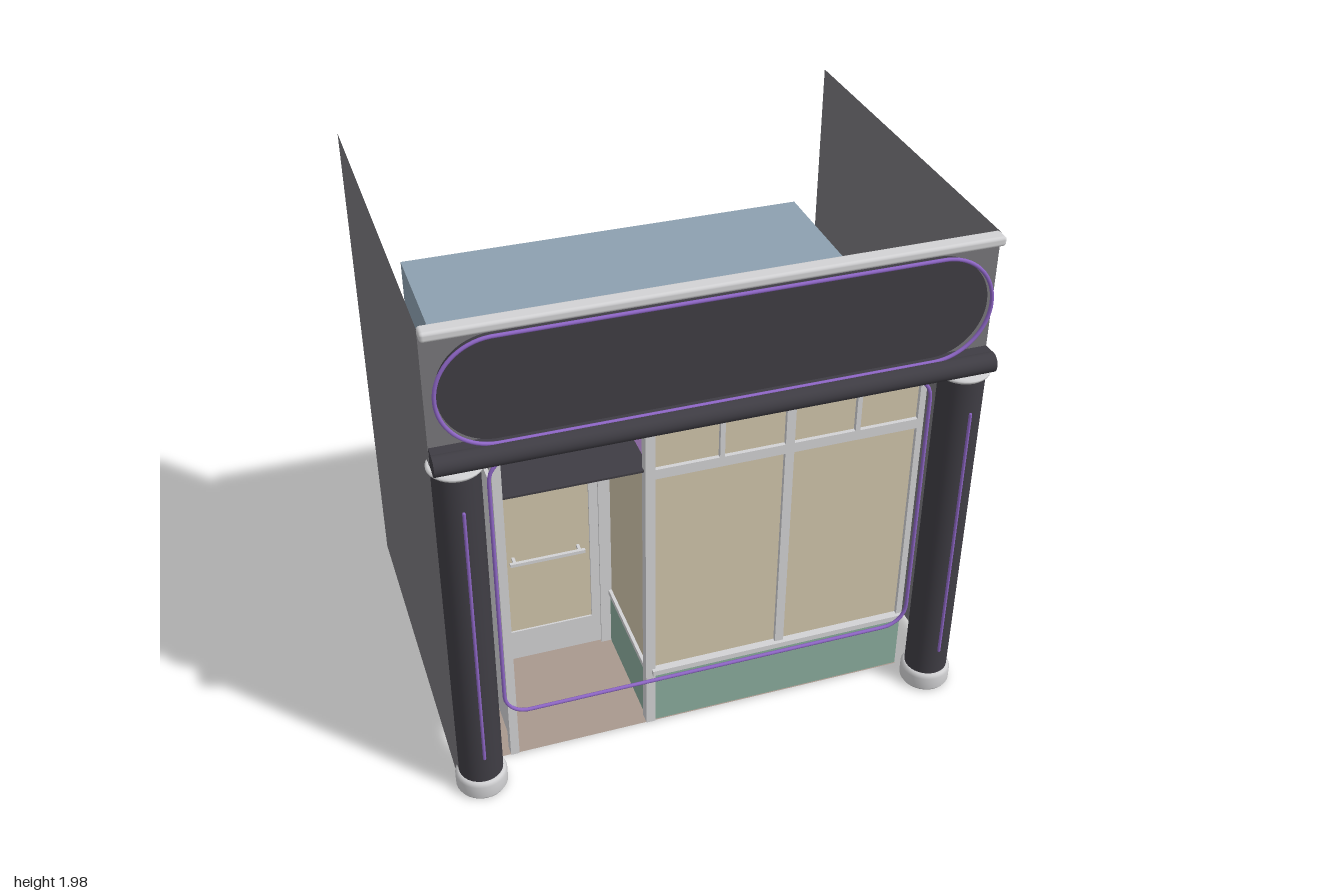
import * as THREE from 'three';
import { RoundedBoxGeometry } from 'three/addons/geometries/RoundedBoxGeometry.js';

const mat = (name, color, double = false) => {
  const m = new THREE.MeshStandardMaterial({ color });
  m.name = name;
  if (double) m.side = THREE.DoubleSide;
  return m;
};

export function createModel() {
  const M = {
    wall: mat('wall grey', 0x78777b, true),
    dark: mat('charcoal', 0x3f3d44),
    trim: mat('light trim', 0xd2d2d4),
    neon: mat('neon purple', 0x8e66c6),
    purple: mat('back wall purple', 0x9f76b9, true),
    blue: mat('room blue', 0x8da0b0, true),
    floor: mat('floor brown', 0xa8988e, true),
    green: mat('panel green', 0x8aac9d),
    glass: mat('glass tan', 0xd0c4aa),
    black: mat('black', 0x2a2a2c),
  };
  const root = new THREE.Group();
  root.name = 'shopfront';

  const add = (name, geometry, material, parent = root) => {
    const mesh = new THREE.Mesh(geometry, material);
    mesh.name = name;
    parent.add(mesh);
    return mesh;
  };
  const group = (name) => {
    const g = new THREE.Group();
    g.name = name;
    root.add(g);
    return g;
  };
  // Box given by its limits on each axis
  const box = (name, m, [x0, x1], [y0, y1], [z0, z1], parent = root) => {
    const mesh = add(name, new THREE.BoxGeometry(x1 - x0, y1 - y0, z1 - z0), m, parent);
    mesh.position.set((x0 + x1) / 2, (y0 + y1) / 2, (z0 + z1) / 2);
    return mesh;
  };
  // Flat sheet; rx and ry turn it from facing +z
  const sheet = (name, m, w, h, pos, rx = 0, ry = 0, parent = root) => {
    const mesh = add(name, new THREE.PlaneGeometry(w, h), m, parent);
    mesh.position.set(...pos);
    mesh.rotation.set(rx, ry, 0);
    return mesh;
  };
  // Rounded rectangle centred on the origin
  const roundRect = (hw, hh, r) => {
    const s = new THREE.Shape();
    s.absarc(hw - r, hh - r, r, 0, Math.PI / 2);
    s.absarc(-hw + r, hh - r, r, Math.PI / 2, Math.PI);
    s.absarc(-hw + r, -hh + r, r, Math.PI, Math.PI * 1.5);
    s.absarc(hw - r, -hh + r, r, Math.PI * 1.5, Math.PI * 2);
    s.closePath();
    return s;
  };
  const neonLoop = (name, hw, hh, r, y, z) => {
    const pts = roundRect(hw, hh, r).getSpacedPoints(200).slice(0, -1)
      .map((p) => new THREE.Vector3(p.x, p.y, 0));
    const path = new THREE.CatmullRomCurve3(pts, true);
    add(name, new THREE.TubeGeometry(path, 240, 0.007, 8, true), M.neon).position.set(0, y, z);
  };

  // Outer side walls and fascia
  for (const s of [1, -1]) {
    sheet(s > 0 ? 'leftOuterWall' : 'rightOuterWall', M.wall, 1.48, 1.97,
      [s * 0.985, 0.985, -0.05], 0, s * Math.PI / 2);
  }
  sheet('fascia', M.wall, 1.97, 0.51, [0, 1.7, 0.69]);
  sheet('soffit', M.wall, 1.64, 0.1, [0, 1.455, 0.64], -Math.PI / 2);
  const coping = add('coping', new RoundedBoxGeometry(1.97, 0.036, 0.06, 3, 0.012), M.trim);
  coping.position.set(0, 1.957, 0.704);

  // Sign panel with its neon outline
  const sign = new THREE.ExtrudeGeometry(roundRect(0.948, 0.19, 0.189),
    { depth: 0.024, bevelEnabled: false, curveSegments: 24 });
  add('signPanel', sign, M.dark).position.set(0, 1.728, 0.692);
  neonLoop('signNeon', 0.957, 0.198, 0.197, 1.728, 0.732);

  // Rounded beam below the sign
  const beam = add('beam', new THREE.CylinderGeometry(0.037, 0.037, 1.97, 24), M.dark);
  beam.rotation.z = Math.PI / 2;
  beam.position.set(0, 1.495, 0.743);
  box('beamBack', M.dark, [-0.984, 0.984], [1.46, 1.53], [0.691, 0.74]);

  // Columns with bases, capitals and neon strips
  const baseProfile = [[0, 0], [0.09, 0], [0.096, 0.01], [0.096, 0.06], [0.09, 0.074], [0.08, 0.08], [0, 0.08]]
    .map(([x, y]) => new THREE.Vector2(x, y));
  const capProfile = [[0, 0], [0.088, 0], [0.096, 0.008], [0.096, 0.014], [0.088, 0.02], [0, 0.02]]
    .map(([x, y]) => new THREE.Vector2(x, y));
  for (const s of [1, -1]) {
    const g = group(s > 0 ? 'leftColumn' : 'rightColumn');
    g.position.set(s * 0.903, 0, 0.69);
    add('shaft', new THREE.CylinderGeometry(0.082, 0.082, 1.38, 32), M.dark, g).position.y = 0.76;
    add('base', new THREE.LatheGeometry(baseProfile, 32), M.trim, g);
    add('capital', new THREE.LatheGeometry(capProfile, 32), M.trim, g).position.y = 1.44;
    const strip = add('neonStrip', new THREE.CapsuleGeometry(0.006, 1.11, 4, 8), M.neon, g);
    strip.position.set(0, 0.76, 0.092);
  }

  // Room shell
  const room = group('room');
  sheet('backWall', M.purple, 1.64, 1.47, [0, 0.735, -0.65], 0, Math.PI, room);
  for (const s of [1, -1]) {
    sheet('sideWall', M.blue, 1.2, 1.47, [s * 0.82, 0.735, -0.05], 0, s * Math.PI / 2, room);
  }
  sheet('roof', M.blue, 1.64, 1.2, [0, 1.47, -0.05], -Math.PI / 2, 0, room);
  sheet('floor', M.floor, 1.64, 1.25, [0, 0.004, -0.025], -Math.PI / 2, 0, room);
  box('ceilingLight', M.trim, [-0.32, 0.32], [1.455, 1.472], [-0.05, 0.03], room);
  for (let i = 0; i < 4; i++) {
    const x = -0.53 + i * 0.353;
    box('floorMat', M.black, [x - 0.14, x + 0.14], [0, 0.009], [-0.57, -0.25], room);
  }

  // Shop window
  const win = group('shopWindow');
  const F = [0.56, 0.6];
  box('greenPanel', M.green, [-0.2, 0.82], [0, 0.25], [0.565, 0.595], win);
  box('sill', M.trim, [-0.21, 0.82], [0.25, 0.272], [0.555, 0.615], win);
  box('glass', M.glass, [-0.2, 0.81], [0.27, 1.41], [0.576, 0.584], win);
  box('head', M.trim, [-0.82, 0.83], [1.405, 1.475], [0.552, 0.612], win);
  box('transom', M.trim, [-0.2, 0.81], [1.16, 1.2], F, win);
  for (const [x, w, y0, y1] of [[-0.215, 0.036, 0, 1.41], [0.305, 0.034, 0.27, 1.41],
    [0.812, 0.024, 0.27, 1.41], [0.05, 0.018, 1.2, 1.41], [0.565, 0.018, 1.2, 1.41]]) {
    box('mullion', M.trim, [x - w / 2, x + w / 2], [y0, y1], F, win);
  }
  neonLoop('windowNeon', 0.795, 0.57, 0.09, 0.865, 0.68);

  // Recessed entrance
  const porch = group('entrance');
  box('frontPost', M.trim, [-0.77, -0.737], [0, 1.41], F, porch);
  box('sidePanel', M.trim, [-0.755, -0.738], [0, 1.19], [0.09, 0.57], porch);
  box('returnPanel', M.green, [-0.225, -0.205], [0, 0.25], [0.09, 0.565], porch);
  box('returnGlass', M.glass, [-0.219, -0.211], [0.27, 1.19], [0.09, 0.565], porch);
  box('returnSill', M.trim, [-0.232, -0.2], [0.25, 0.272], [0.09, 0.565], porch);
  box('returnPost', M.trim, [-0.235, -0.198], [0, 1.19], [0.07, 0.11], porch);
  box('canopy', M.dark, [-0.74, -0.21], [1.188, 1.196], [0.07, 0.585], porch);

  // Door with frame and push bar
  const door = group('door');
  const D = [0.07, 0.11];
  for (const x of [-0.72, -0.248]) box('jamb', M.trim, [x - 0.018, x + 0.018], [0, 1.188], D, door);
  box('doorHead', M.trim, [-0.74, -0.21], [1.16, 1.188], D, door);
  const L = [0.078, 0.102];
  for (const x of [-0.68, -0.282]) box('stile', M.trim, [x - 0.02, x + 0.02], [0.01, 1.155], L, door);
  box('topRail', M.trim, [-0.66, -0.302], [1.12, 1.155], L, door);
  box('bottomRail', M.trim, [-0.66, -0.302], [0.01, 0.15], L, door);
  box('doorGlass', M.glass, [-0.66, -0.302], [0.15, 1.12], [0.086, 0.094], door);
  box('pushBar', M.trim, [-0.63, -0.33], [0.512, 0.526], [0.125, 0.139], door);
  for (const x of [-0.61, -0.35]) box('barBracket', M.trim, [x - 0.006, x + 0.006], [0.513, 0.525], [0.09, 0.13], door);

  return root;
}
